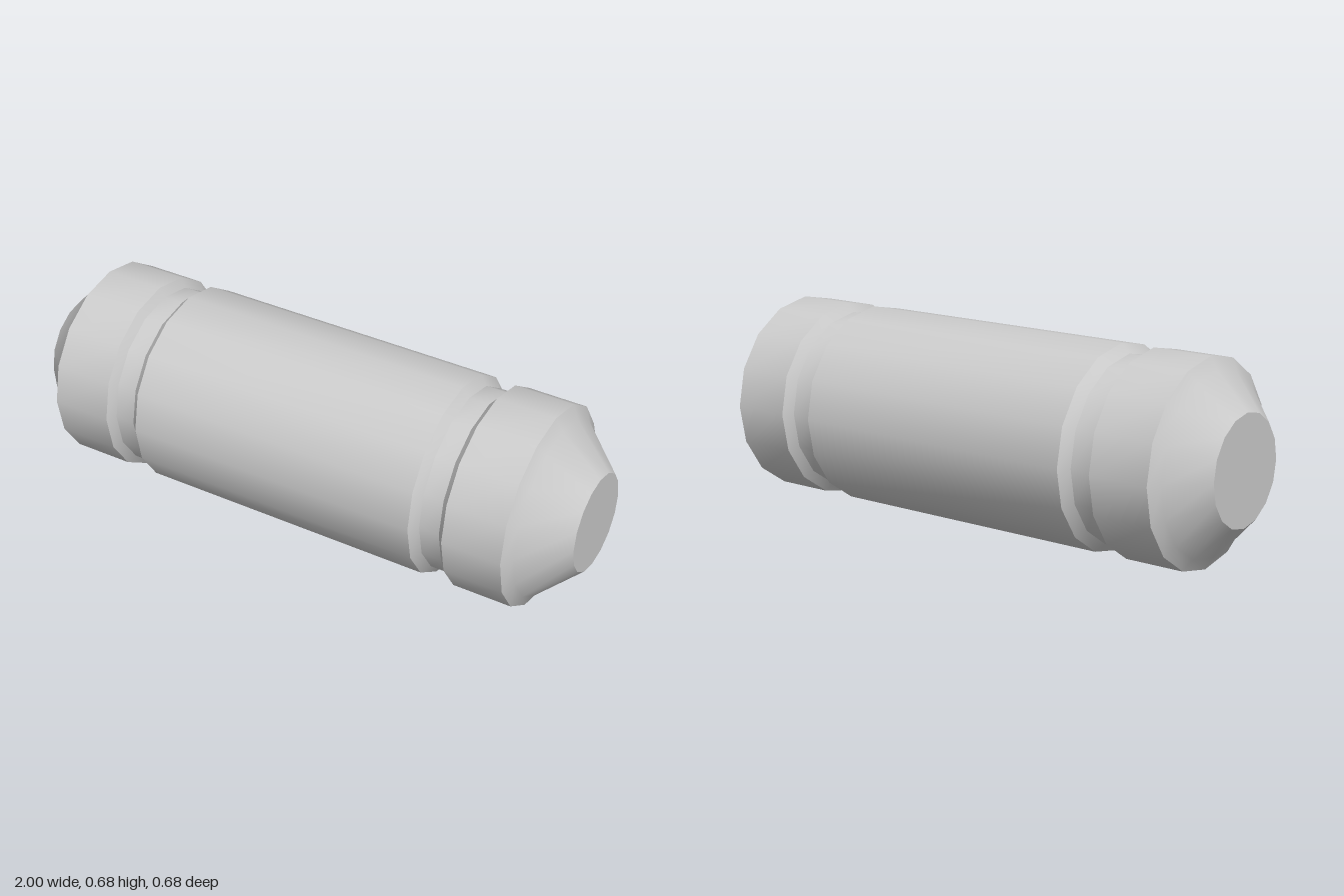
import * as THREE from 'three';
import { toCreasedNormals } from 'three/addons/utils/BufferGeometryUtils.js';

const R = 0.342; // outer radius
const G = 0.311; // groove radius
const SIDES = 16;

// Turned section along x; profile is [x, radius] pairs from -x to +x
function turned(name, profile, material) {
  const points = profile.map(([x, r]) => new THREE.Vector2(r, x));
  const lathe = new THREE.LatheGeometry(points, SIDES);
  lathe.rotateZ(-Math.PI / 2);
  const mesh = new THREE.Mesh(toCreasedNormals(lathe, Math.PI / 6), material);
  mesh.name = name;
  mesh.position.y = R;
  return mesh;
}

export function createModel() {
  const grey = new THREE.MeshStandardMaterial({ color: 0xcccccc });
  const group = new THREE.Group();
  group.name = 'capsule';

  const sections = {
    // tapered ends with flat tips
    rightNose: [[-1, 0], [-1, 0.184], [-0.89, 0.3], [-0.865, R]],
    leftNose: [[0.835, R], [0.86, 0.3], [1, 0.167], [1, 0]],
    // bands between the noses and the grooves
    rightBand: [[-0.865, R], [-0.655, R]],
    leftBand: [[0.63, R], [0.835, R]],
    // sunken rings with sloped walls
    rightGroove: [[-0.655, R], [-0.635, G], [-0.565, G], [-0.535, R]],
    leftGroove: [[0.51, R], [0.535, G], [0.605, G], [0.63, R]],
    // long middle section
    barrel: [[-0.535, R], [0.51, R]],
  };
  for (const [name, profile] of Object.entries(sections)) {
    group.add(turned(name, profile, grey));
  }
  return group;
}
